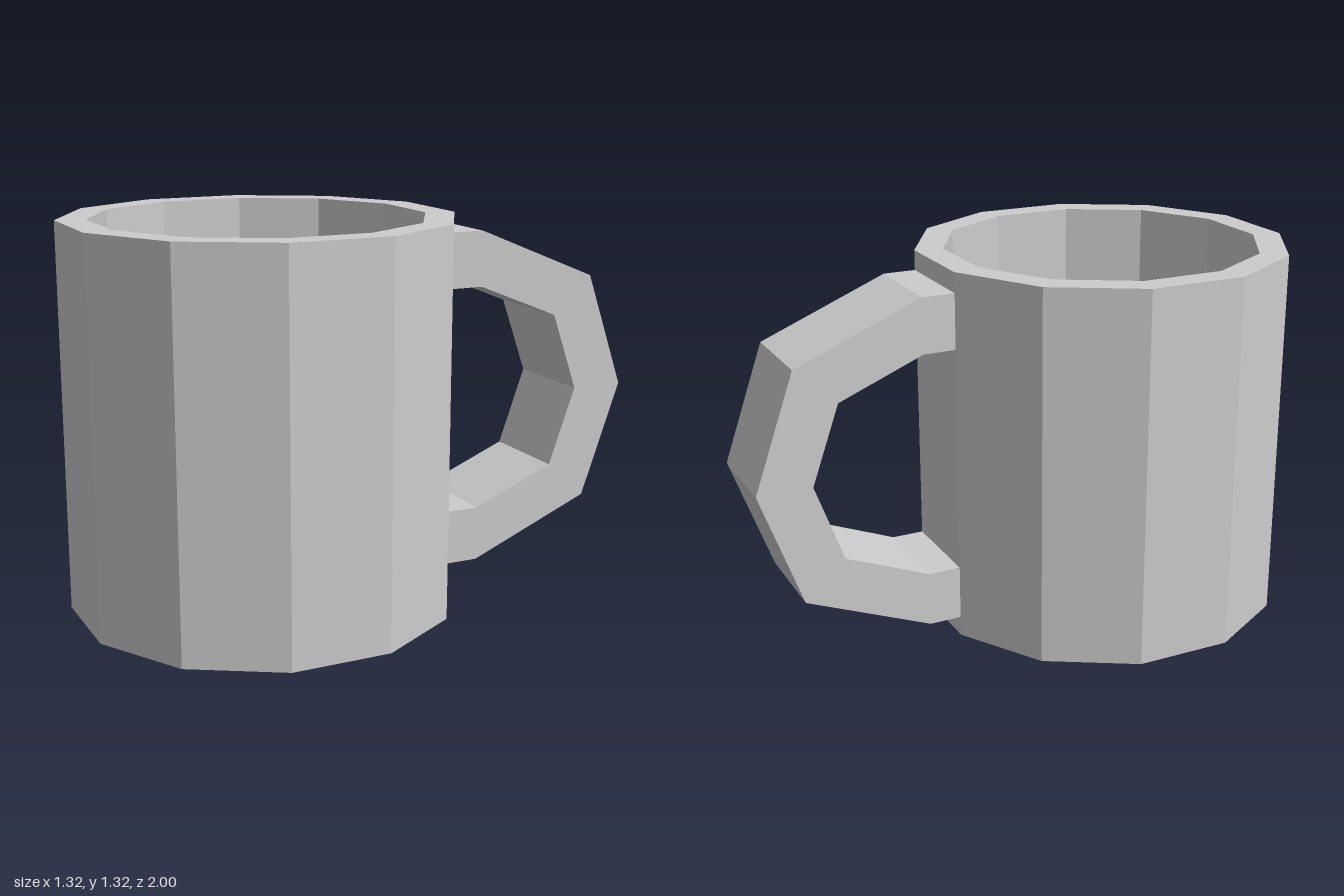
import * as THREE from 'three';

const SIDES = 12, RADIUS = 0.66, INNER = 0.56, HEIGHT = 1.32, FLOOR = 0.1;
const FACE_DIST = RADIUS * Math.cos(Math.PI / SIDES);
const FACE_WIDTH = 2 * RADIUS * Math.sin(Math.PI / SIDES);

export function createModel() {
  const model = new THREE.Group();
  model.name = 'mug';
  const grey = new THREE.MeshStandardMaterial({ color: 0xcccccc, flatShading: true });
  grey.name = 'light grey';

  // Cup: outer wall, rim, inner wall and floor in one faceted lathe
  const profile = [
    [0, 0], [RADIUS, 0], [RADIUS, HEIGHT], [INNER, HEIGHT], [INNER, FLOOR], [0, FLOOR],
  ].map(([r, y]) => new THREE.Vector2(r, y));
  const cup = new THREE.Mesh(new THREE.LatheGeometry(profile, SIDES), grey);
  cup.name = 'cup';
  cup.position.z = 0.34;
  model.add(cup);

  // Handle: upper half as [distance from wall, height above middle], mirrored below
  const outer = [[-0.015, 0.59], [0.114, 0.59], [0.56, 0.407], [0.704, 0]];
  const inner = [[-0.015, 0.397], [0.114, 0.397], [0.414, 0.275], [0.512, 0]];
  const mirror = (half) => half.slice(0, 3).reverse().map(([u, v]) => [u, -v]);
  const loop = [...outer, ...mirror(outer), ...[...inner, ...mirror(inner)].reverse()];
  const shape = new THREE.Shape(
    loop.map(([u, v]) => new THREE.Vector2(FACE_DIST + u, HEIGHT / 2 + v)));
  const handleGeometry = new THREE.ExtrudeGeometry(shape, { depth: FACE_WIDTH, bevelEnabled: false });
  handleGeometry.translate(0, 0, -FACE_WIDTH / 2);
  const handle = new THREE.Mesh(handleGeometry, grey);
  handle.name = 'handle';
  handle.position.z = 0.34;
  handle.rotation.y = Math.PI / 2 - Math.PI / SIDES; // square to one wall facet
  model.add(handle);

  return model;
}
